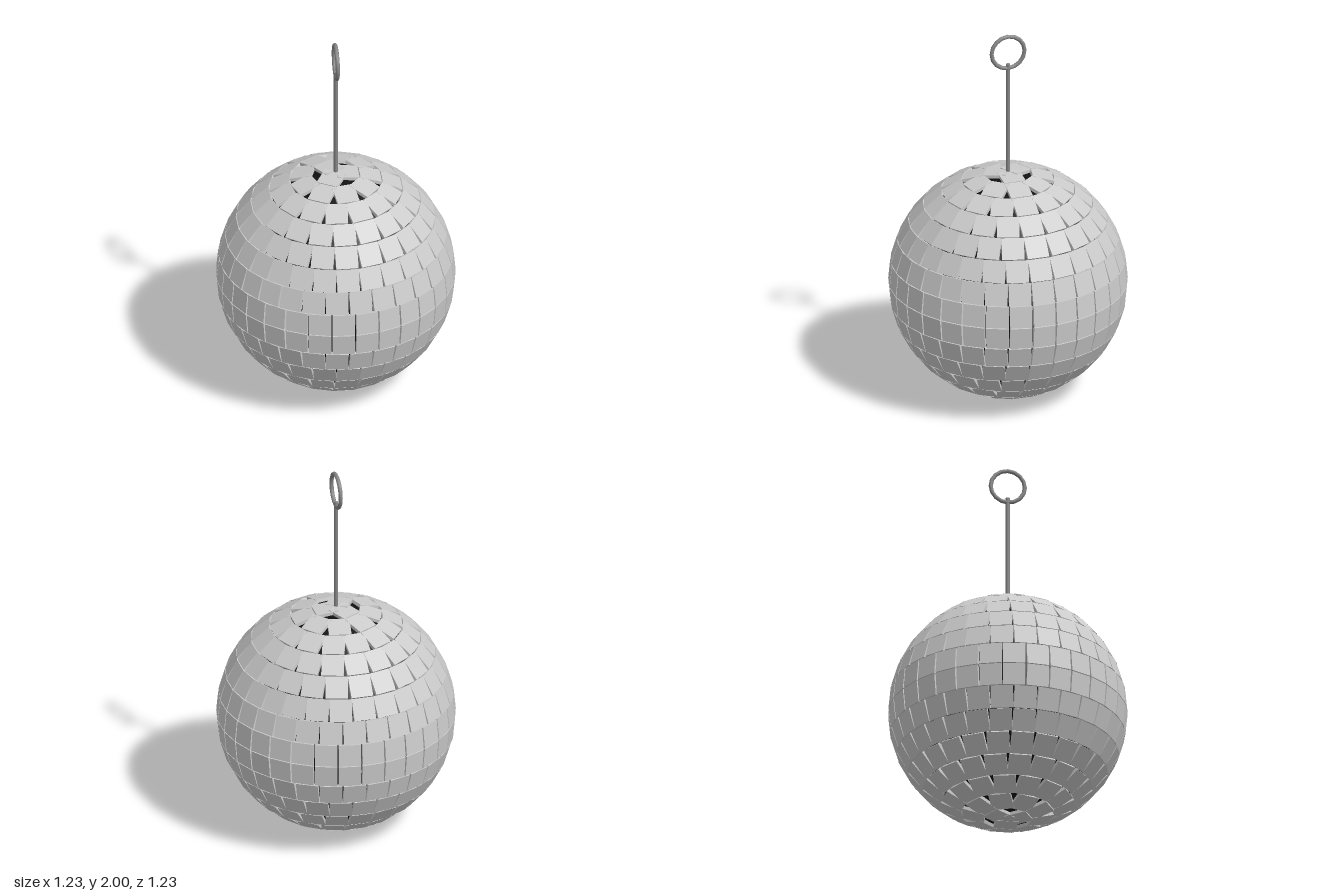
import * as THREE from 'three';
import { mergeGeometries } from 'three/addons/utils/BufferGeometryUtils.js';

const RADIUS = 0.612;      // outer face of the tiles
const CENTRE_Y = 0.615;
const ROWS = 16;
const TILE = 0.116;
const THICKNESS = 0.018;

const material = (color) => new THREE.MeshStandardMaterial({ color });

function addPart(parent, name, geometry, mat) {
  const mesh = new THREE.Mesh(geometry, mat);
  mesh.name = name;
  parent.add(mesh);
  return mesh;
}

// One horizontal ring of flat square tiles at a given latitude
function tileRow(latitude) {
  const count = Math.floor(2 * ROWS * Math.cos(latitude));
  const tiles = [];
  for (let i = 0; i < count; i++) {
    const tile = new THREE.BoxGeometry(THICKNESS, TILE, TILE);
    tile.translate(RADIUS - THICKNESS / 2, 0, 0);
    tile.rotateZ(latitude);
    tile.rotateY((i / count) * Math.PI * 2);
    tiles.push(tile);
  }
  return mergeGeometries(tiles);
}

export function createModel() {
  const group = new THREE.Group();
  group.name = 'mirrorBall';

  // Dark core seen through the gaps
  const core = addPart(group, 'core', new THREE.SphereGeometry(0.598, 48, 32), material(0x111111));
  core.position.y = CENTRE_Y;

  // Mirror tiles, row by row from bottom to top
  const tiles = new THREE.Group();
  tiles.name = 'mirrorTiles';
  tiles.position.y = CENTRE_Y;
  group.add(tiles);
  const mirror = material(0xcccccc);
  for (let row = 0; row < ROWS; row++) {
    const latitude = ((row + 0.5) / ROWS - 0.5) * Math.PI;
    addPart(tiles, 'tileRow' + (row + 1), tileRow(latitude), mirror);
  }

  // Hanging rod and ring
  const metal = material(0x888888);
  const rod = addPart(group, 'hangingRod', new THREE.CylinderGeometry(0.011, 0.011, 0.64, 8), metal);
  rod.position.y = 1.515;
  const ring = addPart(group, 'hangingRing', new THREE.TorusGeometry(0.089, 0.011, 8, 16), metal);
  ring.rotation.y = Math.PI / 2;
  ring.position.y = 1.9;

  return group;
}
